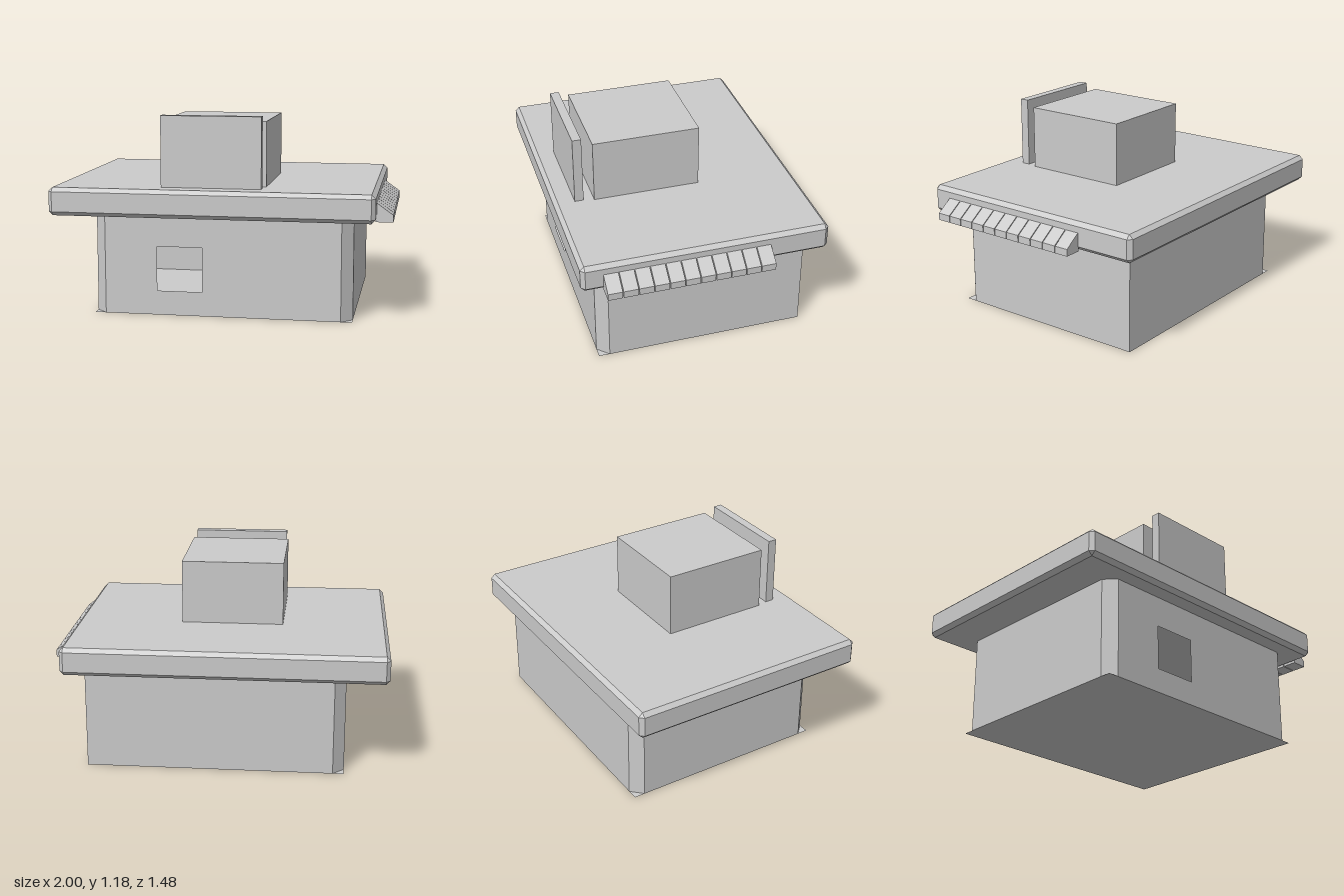
import * as THREE from 'three';
import { ConvexGeometry } from 'three/addons/geometries/ConvexGeometry.js';

const solid = new THREE.MeshStandardMaterial({ color: 0xcccccc, flatShading: true });
const sheet = new THREE.MeshStandardMaterial({ color: 0xcccccc, flatShading: true, side: THREE.DoubleSide });

function add(parent, name, geometry, material = solid) {
  const mesh = new THREE.Mesh(geometry, material);
  mesh.name = name;
  parent.add(mesh);
  return mesh;
}

// Box given by its min and max corners
function block(parent, name, [x0, y0, z0], [x1, y1, z1]) {
  const mesh = add(parent, name, new THREE.BoxGeometry(x1 - x0, y1 - y0, z1 - z0));
  mesh.position.set((x0 + x1) / 2, (y0 + y1) / 2, (z0 + z1) / 2);
}

// Box with every edge chamfered by c
function chamferedBox(w, h, d, c) {
  const points = [];
  for (const sx of [-1, 1]) for (const sy of [-1, 1]) for (const sz of [-1, 1]) {
    for (let full = 0; full < 3; full++) {
      const [x, y, z] = [w, h, d].map((size, i) => size / 2 - (i === full ? 0 : c));
      points.push(new THREE.Vector3(sx * x, sy * y, sz * z));
    }
  }
  return new ConvexGeometry(points);
}

// Thin upright wall from p to q (x, z), with an optional rectangular opening
function wall(parent, name, p, q, height, opening) {
  const dx = q[0] - p[0], dz = q[1] - p[1], w = Math.hypot(dx, dz);
  const shape = new THREE.Shape([[0, 0], [w, 0], [w, height], [0, height]].map(v => new THREE.Vector2(...v)));
  if (opening) {
    const [x0, y0, x1, y1] = opening;
    shape.holes.push(new THREE.Path([[x0, y0], [x0, y1], [x1, y1], [x1, y0]].map(v => new THREE.Vector2(...v))));
  }
  const mesh = add(parent, name, new THREE.ShapeGeometry(shape), sheet);
  mesh.rotation.y = Math.atan2(-dz, dx);
  mesh.position.set(p[0], 0, p[1]);
}

export function createModel() {
  const model = new THREE.Group();
  model.name = 'building';

  // Hollow lower storey: three corners cut, the back left one square
  const L = -0.755, R = 0.775, B = -0.64, F = 0.625, c = 0.066;
  const outline = [
    [L + c, F], [R - c, F], [R, F - c], [R, B], [L + c, B], [L, B + c], [L, F - c],
  ];
  const names = ['frontWall', 'frontLeftCorner', 'leftWall', 'backWall', 'backRightCorner', 'rightWall', 'frontRightCorner'];
  const walls = new THREE.Group();
  walls.name = 'walls';
  model.add(walls);
  outline.forEach((p, i) => {
    const windowOpening = i === 0 ? [-0.375 - p[0], 0.145, -0.105 - p[0], 0.41] : null;
    wall(walls, names[i], p, outline[(i + 1) % outline.length], 0.6, windowOpening);
  });

  // Square floor sheet, its tips showing at the cut corners
  const floor = add(model, 'floor', new THREE.PlaneGeometry(R - L, F - B).rotateX(-Math.PI / 2), sheet);
  floor.position.set((L + R) / 2, 0, (B + F) / 2);

  // Counter inside, seen through the window
  block(model, 'counter', [-0.175, 0.27, -0.3], [0.25, 0.335, 0.1]);

  // Overhanging roof slab
  const roof = add(model, 'roofSlab', chamferedBox(1.905, 0.166, 1.48, 0.024));
  roof.position.set(-0.0475, 0.678, 0);

  // Rooftop room and the panel in front of it
  block(model, 'rooftopRoom', [-0.363, 0.755, -0.15], [0.256, 1.145, 0.5]);
  block(model, 'rooftopPanel', [-0.35, 0.755, 0.562], [0.242, 1.18, 0.616]);

  // Row of sloping awning segments along the left edge of the roof
  const profile = new THREE.Shape([
    [0.9, 0.59], [1, 0.59], [1, 0.632], [0.9, 0.704],
  ].map(v => new THREE.Vector2(...v)));
  const awning = new THREE.Group();
  awning.name = 'awning';
  model.add(awning);
  const count = 11, pitch = 0.0905, gap = 0.005;
  for (let i = 0; i < count; i++) {
    const segment = add(awning, 'awningSegment',
      new THREE.ExtrudeGeometry(profile, { depth: pitch - gap, bevelEnabled: false }));
    segment.position.z = -0.378 + i * pitch;
  }
  return model;
}
